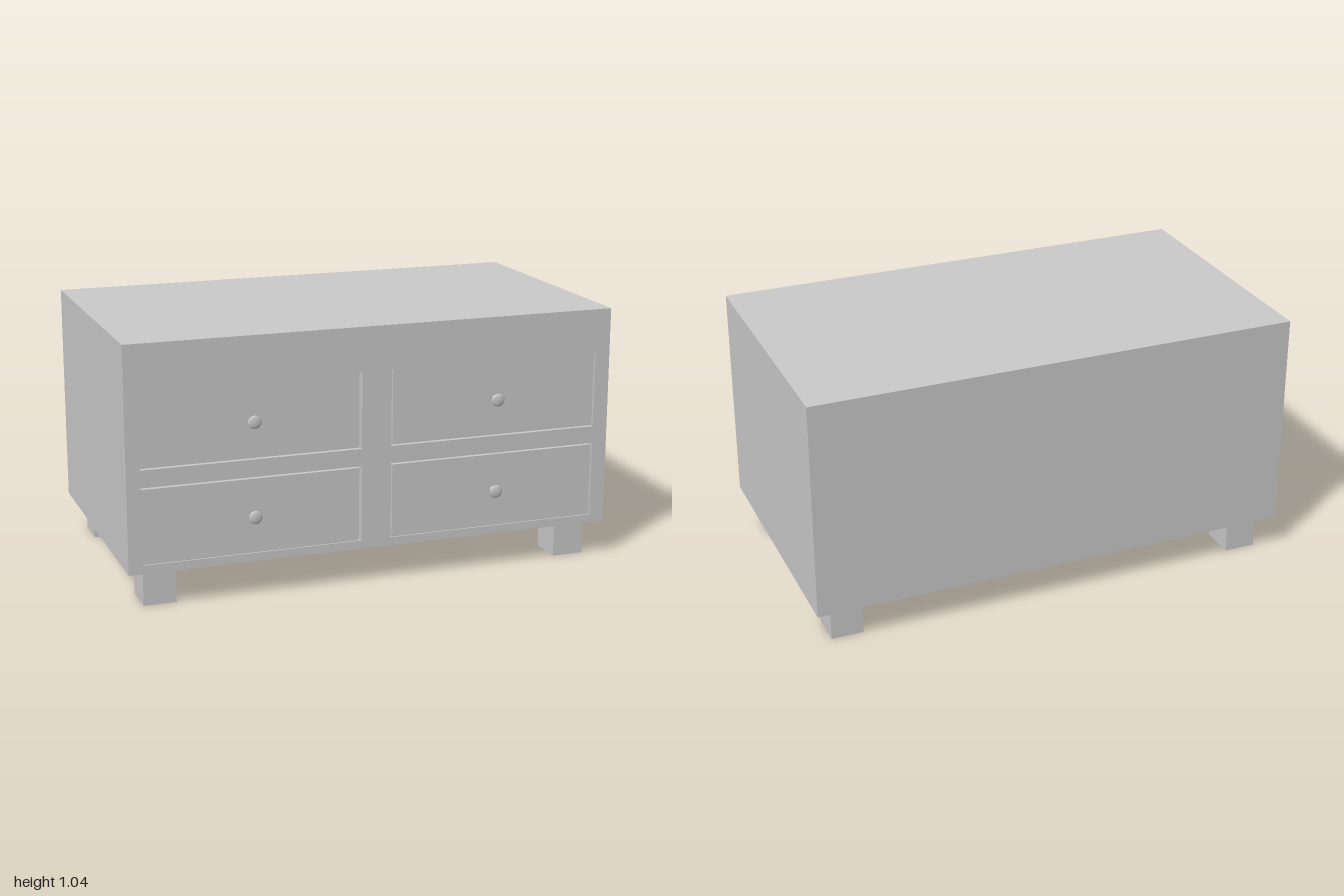
import * as THREE from 'three';

const material = new THREE.MeshStandardMaterial({ color: 0xcccccc });
const FRONT = 0.54, BACK = -0.575, INNER = 0.46, BOTTOM = 0.147, TOP = 1.04;

// Box given by its minimum and maximum corners
function box(name, [x0, y0, z0], [x1, y1, z1]) {
  const mesh = new THREE.Mesh(new THREE.BoxGeometry(x1 - x0, y1 - y0, z1 - z0), material);
  mesh.position.set((x0 + x1) / 2, (y0 + y1) / 2, (z0 + z1) / 2);
  mesh.name = name;
  return mesh;
}

function rectangle(path, x0, y0, x1, y1) {
  path.moveTo(x0, y0);
  path.lineTo(x1, y0);
  path.lineTo(x1, y1);
  path.lineTo(x0, y1);
  path.closePath();
  return path;
}

// Openings, and the drawer fronts that leave narrow gaps inside them
const columns = [
  { side: 'Right', hole: [-0.945, -0.062], front: [-0.945, -0.073], knob: -0.505 },
  { side: 'Left', hole: [0.06, 0.937], front: [0.065, 0.931], knob: 0.5 },
];
const rows = [
  { level: 'upper', hole: [0.556, 0.862], front: [0.562, 0.862], knob: 0.71 },
  { level: 'lower', hole: [0.181, 0.486], front: [0.183, 0.48], knob: 0.333 },
];

export function createModel() {
  const group = new THREE.Group();
  group.name = 'drawerChest';

  // Cabinet body behind the face frame
  group.add(box('cabinetBody', [-1, BOTTOM, BACK], [1, TOP, INNER]));

  // Face frame with four drawer openings
  const frame = rectangle(new THREE.Shape(), -1, BOTTOM, 1, TOP);
  for (const c of columns) for (const r of rows) {
    frame.holes.push(rectangle(new THREE.Path(), c.hole[0], r.hole[0], c.hole[1], r.hole[1]));
  }
  const faceFrame = new THREE.Mesh(
    new THREE.ExtrudeGeometry(frame, { depth: FRONT - INNER, bevelEnabled: false }), material);
  faceFrame.position.z = INNER;
  faceFrame.name = 'faceFrame';
  group.add(faceFrame);

  // Turned knob: narrow neck, flared head, shallow domed face
  const profile = [[0.015, -0.004], [0.0135, 0.006], [0.015, 0.011], [0.021, 0.02],
    [0.026, 0.027], [0.0262, 0.03], [0.023, 0.033], [0.013, 0.035], [0, 0.036]]
    .map(([r, h]) => new THREE.Vector2(r, h));
  const knobGeometry = new THREE.LatheGeometry(profile, 32).rotateX(Math.PI / 2);

  // Flush drawer fronts with one knob each
  for (const c of columns) for (const r of rows) {
    const drawer = new THREE.Group();
    drawer.name = `${r.level}${c.side}Drawer`;
    drawer.add(box('drawerFront', [c.front[0], r.front[0], INNER], [c.front[1], r.front[1], FRONT]));
    const knob = new THREE.Mesh(knobGeometry, material);
    knob.position.set(c.knob, r.knob, FRONT);
    knob.name = 'knob';
    drawer.add(knob);
    group.add(drawer);
  }

  // Four block legs
  for (const [end, z0, z1] of [['front', 0.345, 0.49], ['back', -0.523, -0.377]]) {
    group.add(box(`${end}LeftLeg`, [0.803, 0, z0], [0.934, BOTTOM, z1]));
    group.add(box(`${end}RightLeg`, [-0.934, 0, z0], [-0.803, BOTTOM, z1]));
  }
  return group;
}
